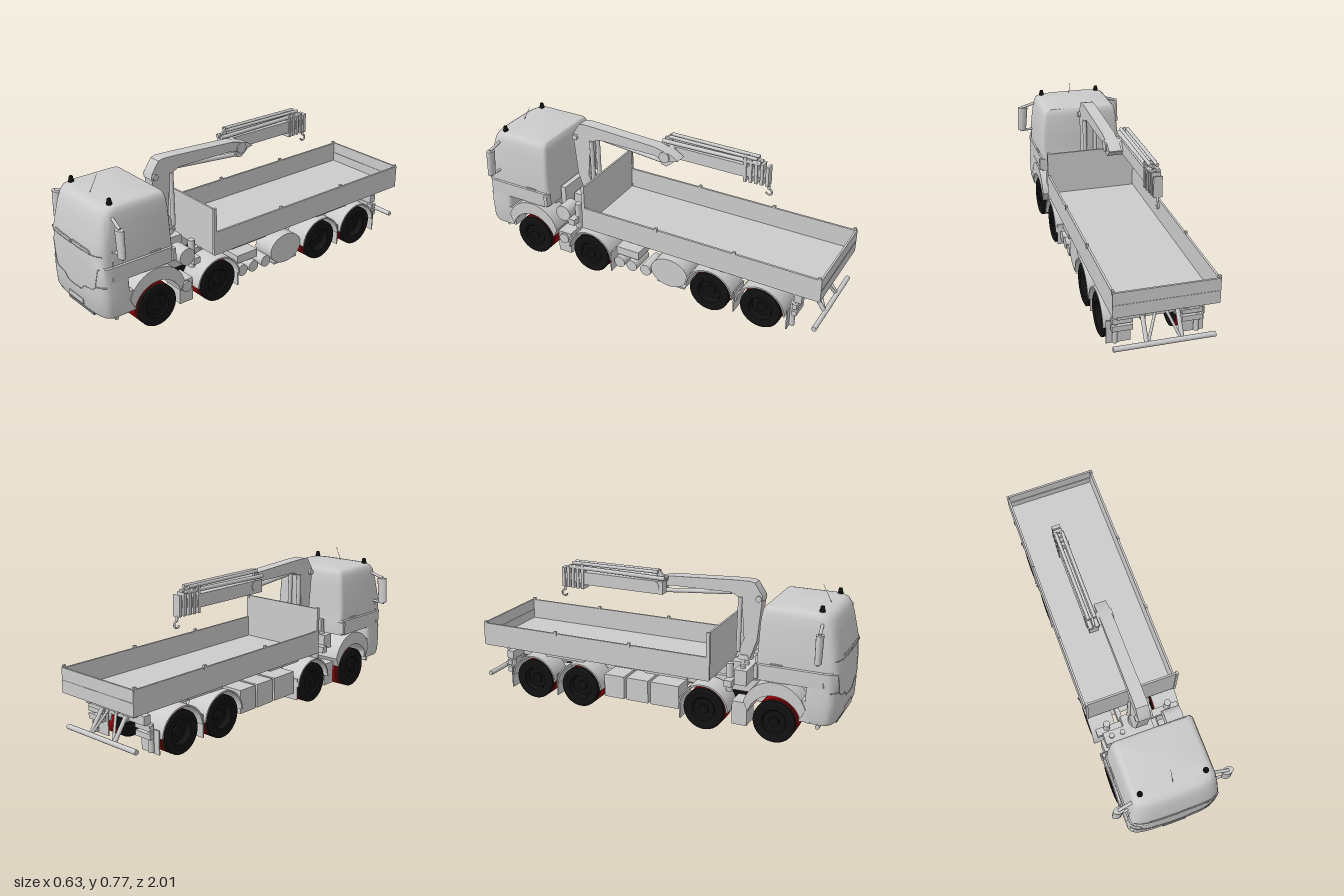
import * as THREE from 'three';
import { toCreasedNormals } from 'three/addons/utils/BufferGeometryUtils.js';

const mat = (color) => new THREE.MeshStandardMaterial({ color, side: THREE.DoubleSide });
const V = (p) => new THREE.Vector3(...p);

export function createModel() {
  const model = new THREE.Group();
  const grey = mat(0xcccccc), black = mat(0x111111), red = mat(0x990000), darkRed = mat(0x4a0000), dark = mat(0x777777);

  const add = (name, geo, m = grey, parent = model) => {
    const mesh = new THREE.Mesh(geo, m);
    mesh.name = name;
    parent.add(mesh);
    return mesh;
  };
  // Box given by its min and max on each axis
  const box = (name, [x0, x1], [y0, y1], [z0, z1], m = grey) => add(name,
    new THREE.BoxGeometry(x1 - x0, y1 - y0, z1 - z0).translate((x0 + x1) / 2, (y0 + y1) / 2, (z0 + z1) / 2), m);
  // Round bar between two points
  const rod = (name, a, b, r, m = grey, r2 = r, sides = 12) => {
    const p = V(a), d = V(b).sub(p);
    const mesh = add(name, new THREE.CylinderGeometry(r2, r, d.length(), sides), m);
    mesh.position.copy(p).addScaledVector(d, 0.5);
    mesh.quaternion.setFromUnitVectors(new THREE.Vector3(0, 1, 0), d.normalize());
    return mesh;
  };
  // Side outline in (z, y), a shape or a list of corners, extruded from x0 to x1
  const plate = (name, outline, x0, x1) => {
    const shape = Array.isArray(outline) ? new THREE.Shape(outline.map((p) => new THREE.Vector2(...p))) : outline;
    const geo = new THREE.ExtrudeGeometry(shape, { depth: x1 - x0, bevelEnabled: false, curveSegments: 24 });
    return add(name, toCreasedNormals(geo.rotateY(-Math.PI / 2).translate(x1, 0, 0), 0.5));
  };
  const both = (fn) => [1, -1].forEach(fn);
  const span = (s, a, b) => (s > 0 ? [a, b] : [-b, -a]);

  // Cab shell: stacked rings [y, half width, back z, front z] with a bowed front
  const bow = 0.085;
  const shell = (name, rings, r = 0.02) => {
    const pos = [], idx = [], n = 24;
    let count = 0;
    for (const [y, w, zb, zf] of rings) {
      const pts = [];
      for (let i = 0; i <= n; i++) {
        const t = (i / n) * Math.PI, c = Math.cos(t);
        pts.push([w * Math.sign(c) * Math.sqrt(Math.abs(c)), zf - bow + bow * Math.sqrt(Math.abs(Math.sin(t)))]);
      }
      for (const s of [-1, 1]) for (let i = 0; i <= 3; i++) {
        const a = ((s < 0 ? i : 3 - i) / 3) * Math.PI / 2;
        pts.push([s * (w - r + r * Math.cos(a)), zb + r - r * Math.sin(a)]);
      }
      count = pts.length;
      pts.forEach(([x, z]) => pos.push(x, y, z));
    }
    const last = (rings.length - 1) * count, base = rings.length * count;
    [rings[0], rings.at(-1)].forEach(([y, , zb, zf]) => pos.push(0, y, (zb + zf) / 2));
    for (let i = 0; i < count; i++) {
      const k = (i + 1) % count;
      for (let j = 0; j < rings.length - 1; j++) {
        const a = j * count + i, b = j * count + k;
        idx.push(a, a + count, b + count, a, b + count, b);
      }
      idx.push(base, i, k, base + 1, last + k, last + i);
    }
    const geo = new THREE.BufferGeometry();
    geo.setAttribute('position', new THREE.Float32BufferAttribute(pos, 3));
    geo.setIndex(idx);
    return add(name, toCreasedNormals(geo, 0.7));
  };
  shell('cab', [[0.32, 0.238, 0.585, 1], [0.4, 0.24, 0.585, 1], [0.405, 0.233, 0.585, 1], [0.47, 0.23, 0.588, 0.999],
    [0.53, 0.226, 0.59, 0.987], [0.6, 0.22, 0.592, 0.972], [0.65, 0.213, 0.597, 0.957], [0.674, 0.206, 0.602, 0.942],
    [0.685, 0.195, 0.61, 0.922], [0.688, 0.18, 0.625, 0.895]]);
  shell('frontBumper', [[0.135, 0.236, 0.84, 0.985], [0.16, 0.241, 0.84, 0.996], [0.25, 0.243, 0.84, 1], [0.32, 0.238, 0.84, 1]]);
  box('cabFloor', [-0.14, 0.14], [0.24, 0.33], [0.6, 0.86]);

  // Seams and wipers that follow the bowed front
  const trim = (name, pts, r, off = 0) => {
    const path = new THREE.CurvePath();
    const on = ([x, y]) => new THREE.Vector3(x, y, 1 - bow + bow * (1 - Math.min(1, Math.abs(x) / 0.241) ** 4) ** 0.25 + off);
    const fine = pts.slice(1).flatMap((p, i) => [0, 0.25, 0.5, 0.75].map((t) =>
      on([pts[i][0] + (p[0] - pts[i][0]) * t, pts[i][1] + (p[1] - pts[i][1]) * t]))).concat(on(pts.at(-1)));
    for (let i = 1; i < fine.length; i++) path.add(new THREE.LineCurve3(fine[i - 1], fine[i]));
    add(name, new THREE.TubeGeometry(path, fine.length * 2, r, 5));
  };
  both((s) => {
    trim('grilleSeam', [[0.235, 0.4], [0.2, 0.395], [0.175, 0.29], [0.15, 0.275], [0.09, 0.27], [0.06, 0.243], [0, 0.238]].map(([x, y]) => [x * s, y]), 0.002);
    trim('bumperSeam', [[0.235, 0.305], [0.178, 0.3]].map(([x, y]) => [x * s, y]), 0.003);
  });
  trim('windscreenSeam', [[-0.225, 0.465], [-0.15, 0.46], [0.15, 0.46], [0.225, 0.465]], 0.002);
  [0, 0.16].forEach((x) => trim('wiper', [[x, 0.466], [x - 0.015, 0.478], [x - 0.15, 0.483]], 0.004, 0.002));
  box('frontPlate', [-0.065, 0.065], [0.157, 0.185], [0.985, 1]);
  box('bumperIntake', [-0.115, 0.115], [0.11, 0.138], [0.9, 0.975], dark);
  rod('frontUnderrunBar', [-0.2, 0.105, 0.9], [0.2, 0.105, 0.9], 0.011);
  rod('bumperStay', [0.1, 0.125, 0.95], [0.1, 0.105, 0.78], 0.008);
  const steeringBox = box('steeringBox', [-0.03, 0.03], [-0.025, 0.025], [-0.04, 0.04]);
  steeringBox.position.set(0.06, 0.09, 0.72);
  steeringBox.rotation.z = Math.PI / 4;

  // Mirrors, beacons, aerial, door details
  both((s) => {
    const mirror = add('mirror', new THREE.CylinderGeometry(0.029, 0.025, 0.14, 16).scale(1, 1, 0.65));
    mirror.position.set(s * 0.286, 0.538, 0.91);
    mirror.rotation.z = s * 0.07;
    rod('mirrorArm', [s * 0.21, 0.635, 0.9], [s * 0.285, 0.61, 0.91], 0.008);
    rod('mirrorArm', [s * 0.22, 0.472, 0.9], [s * 0.3, 0.464, 0.91], 0.007);
    rod('beaconBase', [s * 0.168, 0.68, 0.885], [s * 0.168, 0.696, 0.885], 0.014, black);
    rod('beacon', [s * 0.168, 0.696, 0.885], [s * 0.168, 0.715, 0.885], 0.013, black, 0.009);
    rod('doorHandle', [s * 0.236, 0.41, 0.66], [s * 0.236, 0.41, 0.72], 0.004);
    rod('doorSeam', [s * 0.239, 0.33, 0.93], [s * 0.228, 0.48, 0.92], 0.002);
    box('cabStep', span(s, 0.15, 0.24), [0.14, 0.25], [0.815, 0.87]);
    box('cabRearCorner', span(s, 0.21, 0.25), [0.33, 0.395], [0.58, 0.6]);
  });
  rod('aerial', [0, 0.685, 0.885], [0, 0.77, 0.84], 0.0015, grey, 0.001, 6);

  // Wheels and axles
  const R = 0.11, axles = [0.69, 0.315, -0.405, -0.69];
  axles.forEach((z, i) => {
    both((s) => {
      const wheel = new THREE.Group();
      wheel.name = 'wheel';
      const dish = i > 1 ? 0.035 : 0.012;
      const band = (h0, h1, m) => add('tread', new THREE.CylinderGeometry(R, R, h1 - h0, 40, 1, true).translate(0, (h0 + h1) / 2, 0), m, wheel);
      band(0.113, 0.195, red);
      band(0.195, 0.222, darkRed);
      band(0.222, 0.236, black);
      const side = [[0, 0.24 - dish + 0.012], [0.025, 0.24 - dish + 0.012], [0.027, 0.24 - dish], [0.056, 0.24 - dish], [0.064, 0.238], [0.1, 0.241], [R, 0.236]];
      const inner = [[R, 0.113], [0.065, 0.111], [0.055, 0.125], [0, 0.125]];
      [side, inner].forEach((p) => add('sidewall', toCreasedNormals(
        new THREE.LatheGeometry(p.map((q) => new THREE.Vector2(...q)), 40), 0.4), black, wheel));
      wheel.rotation.z = -s * Math.PI / 2;
      wheel.position.set(0, R, z);
      model.add(wheel);

      // Mudguards
      const arch = new THREE.Shape(), out = i ? 0.136 : 0.165, a0 = i ? 0.05 : 0.3, a1 = Math.PI - (i ? 0.05 : 0.25);
      arch.absarc(z, R + (i ? 0 : 0.045), out, a0, a1, false);
      arch.absarc(z, R, i ? 0.128 : 0.14, a1, a0, true);
      plate('mudguard', arch, ...span(s, 0.115, i ? 0.25 : 0.246));
    });
    rod('axle', [-0.13, R, z], [0.13, R, z], 0.016);
    if (i > 1) add('differential', new THREE.SphereGeometry(0.04, 16, 12).translate(0, R, z));
  });
  both((s) => [0.185, -0.545, -0.835].forEach((z) => box('mudflap', span(s, 0.12, 0.24), [0.04, 0.16], [z - 0.003, z + 0.003])));

  // Chassis
  both((s) => box('chassisRail', span(s, 0.07, 0.095), [0.185, 0.255], [-0.9, 0.88]));
  [0.55, 0.12, -0.2, -0.55, -0.88].forEach((z) => box('crossMember', [-0.08, 0.08], [0.195, 0.245], [z - 0.015, z + 0.015]));
  rod('propShaft', [0, 0.17, 0.5], [0, 0.12, -0.65], 0.014);
  box('engine', [-0.065, 0.065], [0.13, 0.25], [0.5, 0.8]);

  // Side equipment
  both((s) => box('batteryBox', span(s, 0.11, 0.215), [0.05, 0.175], [0.46, 0.54]));
  rod('batteryCap', [0.215, 0.14, 0.5], [0.225, 0.14, 0.5], 0.03);
  box('valveBox', [0.09, 0.21], [0.145, 0.19], [0.03, 0.165]);
  [0.14, 0.065, -0.02].forEach((z) => rod('airTank', [0.09, 0.105, z], [0.225, 0.105, z], 0.032, grey, 0.032, 20));
  const tank = rod('fuelTank', [0.1, 0.137, -0.163], [0.225, 0.137, -0.163], 0.107, grey, 0.107, 40);
  tank.geometry.scale(0.77, 1, 1);
  box('tankStrap', [0.1, 0.215], [0.055, 0.065], [-0.25, -0.09]);
  [[0.01, 0.17], [-0.13, -0.005], [-0.26, -0.145]].forEach((z) => box('toolBox', [-0.225, -0.1], [0.08, 0.205], z));
  both((s) => [[-0.05, 0.24], [-0.65, -0.36]].forEach(([a, b]) =>
    plate('bodyBracket', [[a, 0.278], [b, 0.278], [b - 0.03, 0.248], [a + 0.03, 0.248]], ...span(s, 0.1, 0.22))));

  // Cargo bed
  box('bedFloor', [-0.25, 0.25], [0.272, 0.288], [-0.99, 0.345]);
  box('bedTail', [-0.253, 0.253], [0.275, 0.402], [-0.998, -0.988]);
  box('bedTailRib', [-0.25, 0.25], [0.335, 0.34], [-1, -0.985]);
  box('headboard', [-0.25, 0.25], [0.275, 0.525], [0.335, 0.345]);
  both((s) => {
    box('bedSide', span(s, 0.242, 0.253), [0.275, 0.4], [-0.99, 0.34]);
    box('headboardPost', span(s, 0.24, 0.253), [0.275, 0.53], [0.332, 0.35]);
    box('bedSill', span(s, 0.09, 0.11), [0.25, 0.275], [-0.97, 0.33]);
    [-0.1, -0.54, -0.985].forEach((z) => box('bedPin', span(s, 0.243, 0.255), [0.39, 0.412], [z - 0.008, z + 0.008]));
  });

  // Rear underrun guard and lamps
  rod('rearUnderrunBar', [-0.245, 0.1, -0.98], [0.245, 0.1, -0.98], 0.013);
  both((s) => {
    rod('underrunArm', [s * 0.085, 0.24, -0.88], [s * 0.085, 0.1, -0.975], 0.011);
    rod('underrunBrace', [s * 0.02, 0.235, -0.9], [s * 0.075, 0.11, -0.97], 0.007);
    rod('lampPost', [s * 0.2, 0.05, -0.85], [s * 0.2, 0.19, -0.85], 0.014);
    [0.12, 0.16].forEach((y) => box('rearLamp', span(s, 0.12, 0.22), [y, y + 0.028], [-0.875, -0.85]));
    box('lampBracket', span(s, 0.08, 0.2), [0.19, 0.235], [-0.89, -0.85]);
  });
  box('rearCrossMember', [-0.16, 0.16], [0.225, 0.25], [-0.92, -0.88]);

  // Crane base and stabiliser
  box('stabiliserBeam', [-0.23, 0.23], [0.25, 0.285], [0.42, 0.46]);
  box('craneBase', [-0.09, 0.06], [0.23, 0.34], [0.41, 0.53]);
  box('oilTank', [-0.205, -0.07], [0.26, 0.34], [0.465, 0.53]);
  [-0.165, -0.105].forEach((x) => rod('oilCap', [x, 0.34, 0.495], [x, 0.355, 0.495], 0.014));
  rod('pumpDrum', [0.13, 0.305, 0.495], [0.225, 0.305, 0.495], 0.045, grey, 0.045, 20);
  both((s) => rod('stabiliserLeg', [s * 0.17, 0.21, 0.43], [s * 0.17, 0.36, 0.43], 0.018));
  box('intakeBox', [-0.12, 0.12], [0.27, 0.4], [0.545, 0.575]);

  // Crane column and main boom
  const cx = -0.015;
  rod('slewRing', [cx, 0.33, 0.455], [cx, 0.365, 0.455], 0.045, grey, 0.04, 20);
  plate('craneColumn', [[0.49, 0.35], [0.525, 0.45], [0.545, 0.66], [0.53, 0.68], [0.44, 0.68], [0.44, 0.63], [0.455, 0.45], [0.41, 0.35]], cx - 0.032, cx + 0.032);
  both((s) => rod('liftCylinder', [cx + s * 0.03, 0.38, 0.425], [cx + s * 0.03, 0.67, 0.43], 0.012));
  plate('mainBoom', [[0.55, 0.66], [0.545, 0.69], [0.505, 0.75], [0.48, 0.757], [0.4, 0.755], [0.04, 0.735], [-0.06, 0.71], [-0.1, 0.685],
    [-0.02, 0.665], [0.04, 0.685], [0.38, 0.688], [0.43, 0.665]], cx - 0.033, cx + 0.033);
  rod('boomPivot', [cx - 0.045, 0.672, 0.53], [cx + 0.045, 0.672, 0.53], 0.016);
  rod('boomCylinder', [cx, 0.68, 0.37], [cx, 0.645, -0.02], 0.012);
  rod('elbow', [-0.12, 0.69, -0.02], [0.025, 0.69, -0.02], 0.03, grey, 0.03, 20);
  plate('elbowLink', [[0.03, 0.715], [-0.04, 0.715], [-0.07, 0.67], [-0.03, 0.635], [0, 0.64]], -0.075, 0.01);

  // Folded telescopic boom: nested sections, collars, extension cylinders, hook
  const bx = -0.09;
  for (let i = 0; i < 5; i++) {
    const h = 0.034 - i * 0.004, z = -0.44 - i * 0.03, w = 0.026 - i * 0.003;
    box('boomSection', [bx - w, bx + w], [0.684 - h, 0.684 + h], [z, i ? -0.4 : 0.03]);
    plate('boomCollar', [[z + 0.008, 0.625], [z + 0.01, 0.76 - i * 0.008], [z - 0.006, 0.765 - i * 0.008], [z - 0.008, 0.625]], bx - 0.03 + i * 0.002, bx + 0.03 - i * 0.002);
  }
  both((s) => {
    rod('extensionCylinder', [bx + s * 0.017, 0.765, 0], [bx + s * 0.017, 0.762, -0.5], 0.009);
    rod('extensionCylinder', [bx + s * 0.017, 0.733, 0.04], [bx + s * 0.017, 0.74, -0.52], 0.011);
  });
  plate('cylinderBracket', [[0.03, 0.7], [0.03, 0.745], [0, 0.775], [-0.02, 0.7]], bx - 0.006, bx + 0.006);
  rod('hookLink', [bx, 0.66, -0.56], [bx, 0.6, -0.565], 0.007);
  const hook = add('hook', new THREE.TorusGeometry(0.016, 0.005, 8, 20, Math.PI * 1.4));
  hook.rotation.set(0, Math.PI / 2, 0);
  hook.rotateZ(-Math.PI * 0.9);
  hook.position.set(bx, 0.585, -0.566);

  return model;
}
